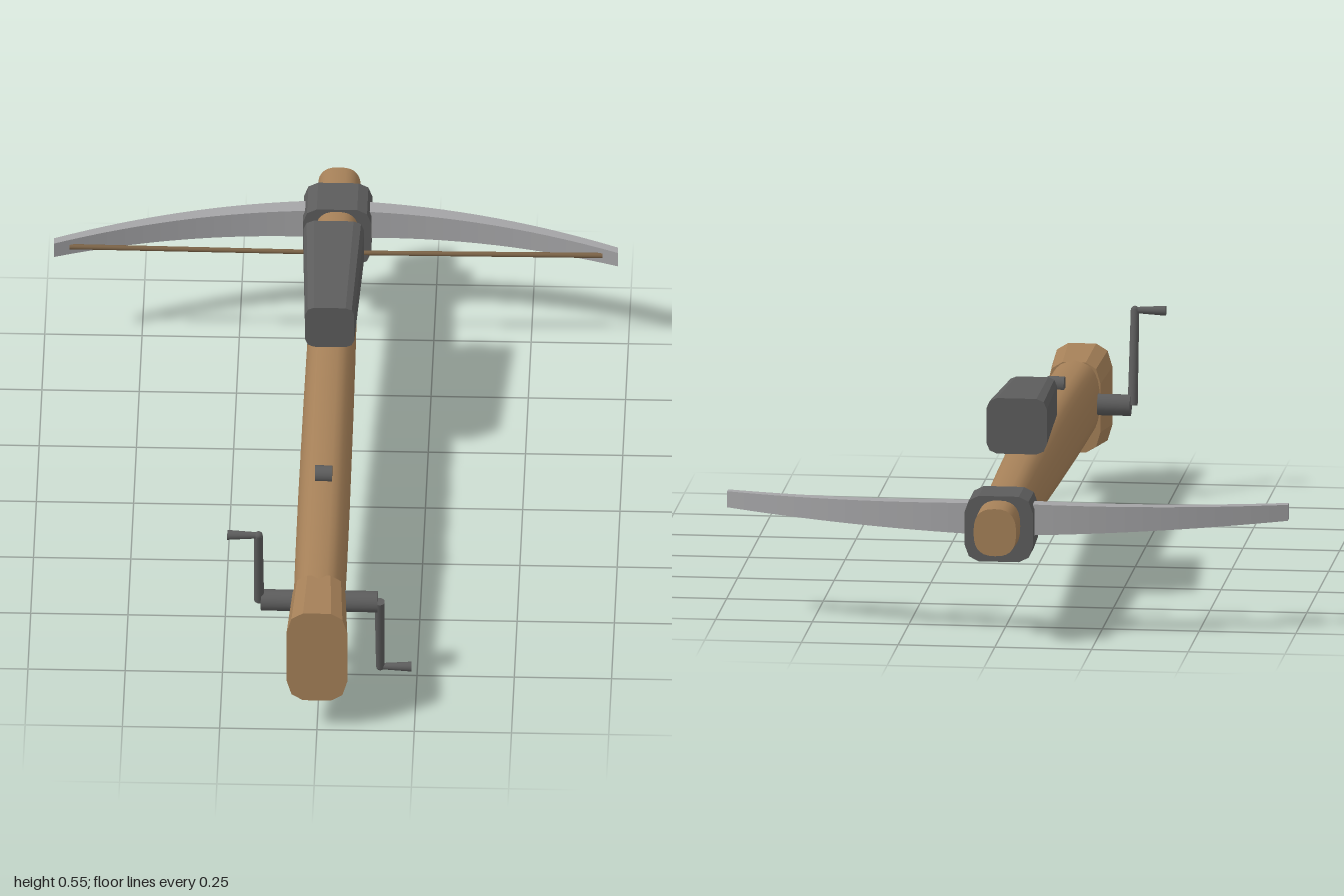
import * as THREE from 'three';

const WOOD = new THREE.MeshStandardMaterial({ color: 0xa58058 });
const WOOD_FLAT = new THREE.MeshStandardMaterial({ color: 0xa58058, flatShading: true });
const IRON = new THREE.MeshStandardMaterial({ color: 0x5c5c5c });
const IRON_FLAT = new THREE.MeshStandardMaterial({ color: 0x5c5c5c, flatShading: true });
const STEEL = new THREE.MeshStandardMaterial({ color: 0xa4a4a6, flatShading: true });
const CORD = new THREE.MeshStandardMaterial({ color: 0x7a6246 });

function add(group, name, geometry, material) {
  const mesh = new THREE.Mesh(geometry, material);
  mesh.name = name;
  group.add(mesh);
  return mesh;
}

// Skins a row of matching rings and closes both ends with flat caps.
function loft(rings) {
  const n = rings[0].length, pos = rings.flat(2), idx = [];
  for (let k = 0; k < rings.length - 1; k++) {
    for (let i = 0; i < n; i++) {
      const a = k * n + i, b = k * n + (i + 1) % n;
      idx.push(a, a + n, b, b, a + n, b + n);
    }
  }
  const cap = (ring, flip) => {
    const start = pos.length / 3;
    pos.push(...ring.flat());
    for (let i = 1; i < n - 1; i++) {
      if (flip) idx.push(start, start + i + 1, start + i);
      else idx.push(start, start + i, start + i + 1);
    }
  };
  cap(rings[0], false);
  cap(rings[rings.length - 1], true);
  const g = new THREE.BufferGeometry();
  g.setAttribute('position', new THREE.Float32BufferAttribute(pos, 3));
  g.setIndex(idx);
  g.computeVertexNormals();
  return g;
}

// Soft-cornered oval between bottom y0 and top y1.
function ovalRing(z, w, y0, y1, power = 2.6, n = 28) {
  const bend = v => Math.sign(v) * Math.abs(v) ** (2 / power);
  return Array.from({ length: n }, (_, i) => {
    const a = (i / n) * Math.PI * 2;
    return [w * bend(Math.cos(a)), (y0 + y1) / 2 + (y1 - y0) / 2 * bend(Math.sin(a)), z];
  });
}

// Rectangle with cut corners: cx wide, cy high, softened by a middle point.
function cutRing(z, w, y0, y1, cx, cy) {
  const ym = (y0 + y1) / 2, h = (y1 - y0) / 2, s = 0.3;
  const corner = [[w, h - cy], [w - cx * s, h - cy * s], [w - cx, h]];
  const back = [...corner].reverse();
  return [
    ...corner,
    ...back.map(([x, y]) => [-x, y]),
    ...corner.map(([x, y]) => [-x, -y]),
    ...back.map(([x, y]) => [x, -y]),
  ].map(([x, y]) => [x, ym + y, z]);
}

// Round bar between two points.
function bar(group, name, from, to, r0, r1 = r0, material = IRON) {
  const a = new THREE.Vector3(...from), b = new THREE.Vector3(...to);
  const dir = b.clone().sub(a);
  const mesh = add(group, name, new THREE.CylinderGeometry(r1, r0, dir.length(), 16), material);
  mesh.position.copy(a).add(b).multiplyScalar(0.5);
  mesh.quaternion.setFromUnitVectors(new THREE.Vector3(0, 1, 0), dir.normalize());
  return mesh;
}

export function createModel() {
  const model = new THREE.Group();
  model.name = 'crossbow';

  // Tiller: z, half width, bottom, top
  const tiller = [
    [0.83, 0.066, 0.153, 0.356], [0.6, 0.067, 0.16, 0.368], [0.4, 0.067, 0.167, 0.378],
    [0.2, 0.066, 0.175, 0.384], [0, 0.065, 0.184, 0.386], [-0.25, 0.063, 0.196, 0.385],
    [-0.5, 0.06, 0.21, 0.381], [-0.75, 0.057, 0.225, 0.373], [-1, 0.055, 0.24, 0.364],
  ];
  add(model, 'tiller', loft(tiller.map(s => ovalRing(...s))), WOOD);

  // Butt block
  add(model, 'butt', loft([
    cutRing(1, 0.078, 0.093, 0.365, 0.042, 0.06),
    cutRing(0.815, 0.068, 0.118, 0.355, 0.038, 0.055),
  ]), WOOD_FLAT);

  // Housing above the tiller
  add(model, 'housing', loft([
    cutRing(-0.14, 0.063, 0.403, 0.525, 0.022, 0.022),
    cutRing(-0.5, 0.078, 0.4, 0.546, 0.027, 0.027),
  ]), IRON_FLAT);

  // Collar that binds the bow to the tiller
  add(model, 'bowCollar', loft([
    cutRing(-0.79, 0.088, 0.206, 0.378, 0.036, 0.042),
    cutRing(-0.91, 0.088, 0.206, 0.378, 0.036, 0.042),
  ]), IRON_FLAT);

  // Bow: tapered bar swept back along a shallow curve
  const half = 0.725, steps = 32, bow = [];
  for (let k = 0; k <= steps; k++) {
    const x = half * (1 - 2 * k / steps), t = Math.abs(x) / half;
    const h = 0.043 - 0.022 * t, z0 = -0.87 + 0.16 * t * t, z1 = z0 + 0.047 - 0.023 * t;
    bow.push([[x, 0.309 - h, z0], [x, 0.309 + h, z0], [x, 0.309 + h, z1], [x, 0.309 - h, z1]]);
  }
  add(model, 'bow', loft(bow), STEEL);

  // Bowstring
  for (const s of [1, -1]) {
    bar(model, 'bowstring', [0, 0.309, -0.697], [s * 0.685, 0.309, -0.704], 0.006, 0.007, CORD);
  }

  // String catch and trigger
  bar(model, 'stringCatch', [-0.022, 0.386, 0.403], [0.022, 0.386, 0.403], 0.022);
  bar(model, 'trigger', [0, 0.17, 0.46], [0, 0.121, 0.655], 0.006, 0.01);

  // Windlass: axle with two opposed cranks
  bar(model, 'axle', [-0.15, 0.253, 0.782], [0.15, 0.253, 0.782], 0.028);
  for (const s of [1, -1]) {
    const crank = new THREE.Group();
    crank.name = s > 0 ? 'leftCrank' : 'rightCrank';
    const x = s * 0.155, y = 0.253 - s * 0.239, z = 0.782 - s * 0.053;
    bar(crank, 'crankArm', [x, 0.253, 0.782], [x, y, z], 0.013, 0.011);
    add(crank, 'crankElbow', new THREE.SphereGeometry(0.011, 16, 10), IRON).position.set(x, y, z);
    bar(crank, 'crankHandle', [x, y, z], [s * 0.235, y, z], 0.008, 0.013);
    model.add(crank);
  }
  return model;
}
